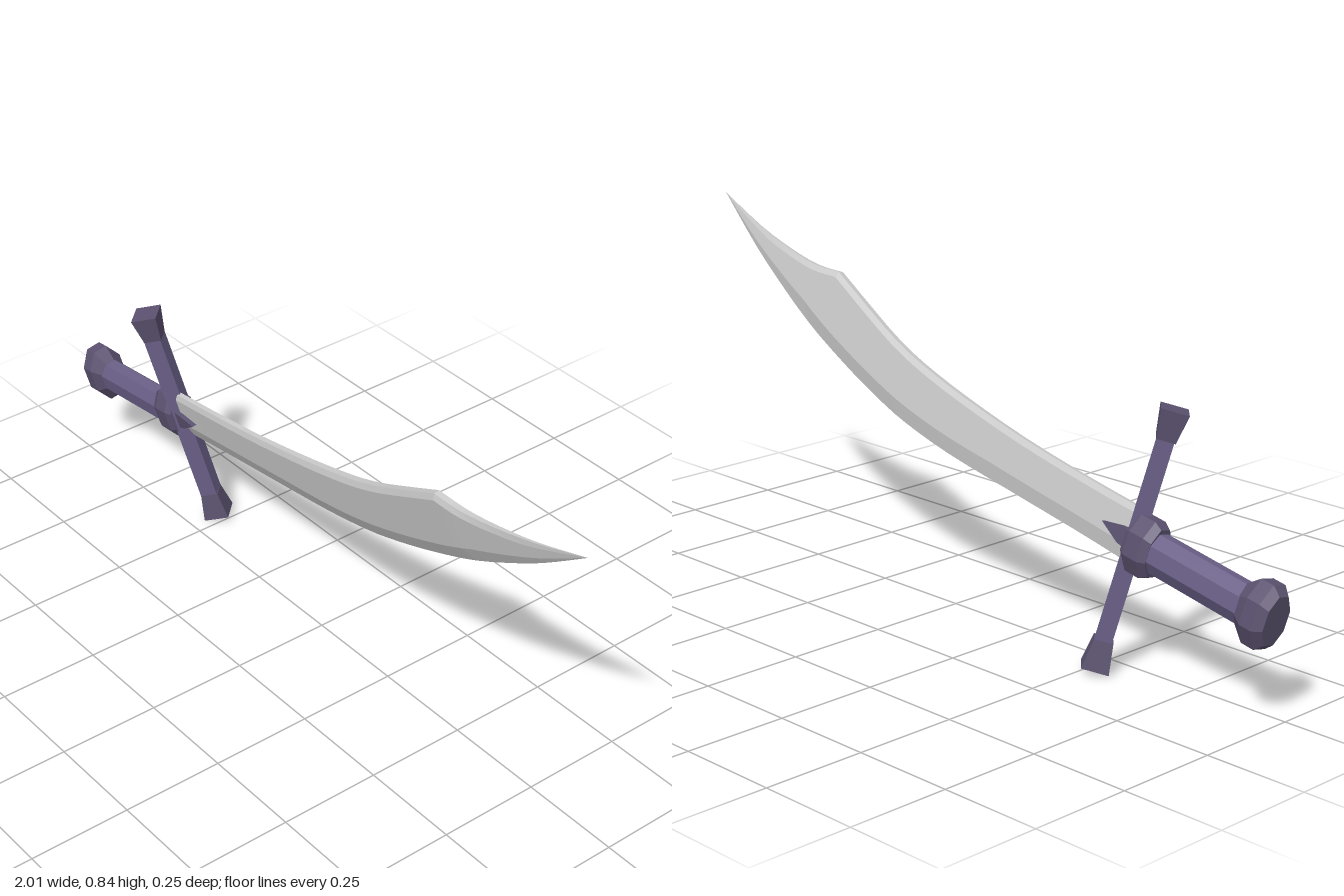
import * as THREE from 'three';

const V2 = (p) => new THREE.Vector2(p[0], p[1]);
const material = (color) => new THREE.MeshStandardMaterial({ color, flatShading: true, side: THREE.DoubleSide });
const steel = material(0xcccccc);
const violet = material(0x6b6088);
const dark = material(0x5c5270);

function add(parent, name, geometry, mat) {
  const mesh = new THREE.Mesh(geometry, mat);
  mesh.name = name;
  parent.add(mesh);
  return mesh;
}

// Eight-sided turned part along x; profile is [radius, x], flattened in z
function turned(profile, flatten) {
  const g = new THREE.LatheGeometry(profile.map(V2), 8, Math.PI / 8);
  g.rotateZ(-Math.PI / 2);
  g.scale(1, 1 / Math.cos(Math.PI / 8), flatten / Math.cos(Math.PI / 8));
  return g;
}

// Curved blade: seven-point sections swept between the back and the cutting edge
function bladeGeometry() {
  const back = [[0, 0.074], [0.176, 0.075], [0.395, 0.082], [0.615, 0.1], [0.782, 0.122],
    [0.895, 0.147], [1.01, 0.183], [1.142, 0.227]];
  const point = [[1.142, 0.227], [1.233, 0.215], [1.342, 0.219], [1.48, 0.236], [1.65, 0.273]];
  const edge = [[0, -0.053], [0.176, -0.049], [0.395, -0.047], [0.615, -0.044], [0.782, -0.031],
    [0.895, -0.012], [1.01, 0.014], [1.142, 0.05], [1.233, 0.08], [1.342, 0.123], [1.48, 0.184], [1.65, 0.273]];
  const sub = 3;
  const sample = (pts) => new THREE.SplineCurve(pts.map(V2)).getPoints((pts.length - 1) * sub);
  const tops = [...sample(back), ...sample(point).slice(1)];
  const bottoms = sample(edge);

  const pos = [], index = [], n = 7;
  tops.forEach((t, i) => {
    const b = bottoms[i];
    const h = Math.max(t.y - b.y, 0);
    const half = 0.014 * Math.min(1, h / 0.15);
    const chamfer = Math.min(0.014, h * 0.2);
    const bevel = Math.min(0.04, h * 0.3);
    const at = (y, z) => pos.push(THREE.MathUtils.lerp(b.x, t.x, h ? (y - b.y) / h : 0), y, z);
    at(t.y, half * 0.5);
    at(t.y - chamfer, half);
    at(b.y + bevel, half);
    at(b.y, 0);
    at(b.y + bevel, -half);
    at(t.y - chamfer, -half);
    at(t.y, -half * 0.5);
    if (i === 0) return;
    for (let j = 0; j < n; j++) {
      const k = (j + 1) % n, p = (i - 1) * n, q = i * n;
      index.push(p + j, p + k, q + k, p + j, q + k, q + j);
    }
  });
  for (let j = 1; j < n - 1; j++) index.push(0, j + 1, j);
  const g = new THREE.BufferGeometry();
  g.setAttribute('position', new THREE.Float32BufferAttribute(pos, 3));
  g.setIndex(index);
  g.computeVertexNormals();
  return g;
}

export function createModel() {
  const model = new THREE.Group();
  model.name = 'curvedSword';

  // Sword frame: x along the grip, y along the guard, z across the blade
  const sword = new THREE.Group();
  sword.name = 'sword';
  const x = new THREE.Vector3(0.985, 0.1645, 0.0553).normalize();
  const z = x.clone().cross(new THREE.Vector3(-0.1724, 0.9634, 0.2056)).normalize();
  const y = z.clone().cross(x);
  new THREE.Matrix4().makeBasis(x, y, z).setPosition(-0.58, 0.307, -0.017)
    .decompose(sword.position, sword.quaternion, sword.scale);
  model.add(sword);

  add(sword, 'blade', bladeGeometry(), steel);

  // Handle
  add(sword, 'grip', turned([[0.045, -0.345], [0.045, -0.06]], 0.74), violet);
  add(sword, 'pommel', turned([[0, -0.425], [0.055, -0.425], [0.073, -0.405], [0.073, -0.37],
    [0.045, -0.332], [0, -0.332]], 0.64), dark);
  add(sword, 'collar', turned([[0, -0.075], [0.055, -0.075], [0.066, -0.055], [0.066, -0.012],
    [0.055, 0.003], [0, 0.003]], 0.62), dark);

  // Crossguard bar with flared ends
  const bar = new THREE.CylinderGeometry(0.031, 0.031, 0.5, 4);
  bar.scale(0.85, 1, 1);
  add(sword, 'guardBar', bar, violet);
  for (const s of [1, -1]) {
    const end = add(sword, s > 0 ? 'upperGuardEnd' : 'lowerGuardEnd',
      new THREE.CylinderGeometry(0.045, 0.031, 0.07, 4), dark);
    end.position.y = s * 0.272;
    if (s < 0) end.rotation.x = Math.PI;
  }

  // Pointed tabs holding each face of the blade
  const tab = new THREE.Shape([[-0.01, -0.024], [0.03, -0.016], [0.085, 0.01], [0.03, 0.022], [-0.01, 0.026]].map(V2));
  for (const s of [1, -1]) {
    const g = new THREE.ExtrudeGeometry(tab, { depth: 0.012, bevelEnabled: false });
    g.translate(0, 0, s * 0.017 - 0.006);
    add(sword, s > 0 ? 'frontTab' : 'backTab', g, dark);
  }
  return model;
}
